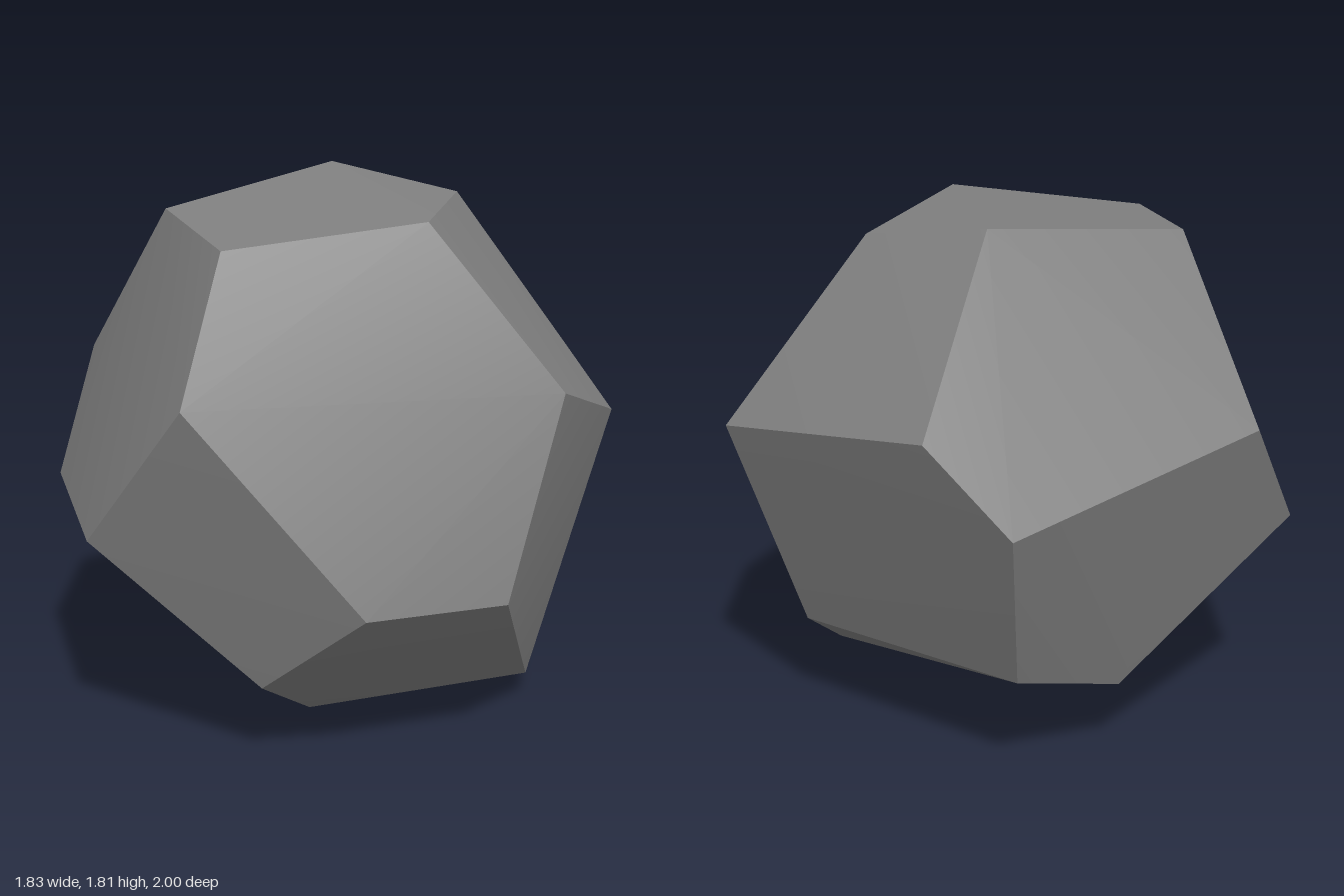
import * as THREE from 'three';
import { ConvexGeometry } from 'three/addons/geometries/ConvexGeometry.js';
import { toCreasedNormals } from 'three/addons/utils/BufferGeometryUtils.js';

// Corners of the faceted boulder, from the top down
const corners = [
  // top facet
  [-0.39, 1.81, -0.265], [0.5, 1.745, 0], [0.22, 1.675, 0.6], [-0.33, 1.72, 0.465], [0.01, 1.73, -0.515],
  // upper ring
  [-0.795, 1.165, 0.5], [0.4, 1.24, 0.87], [0.845, 1.215, -0.29], [0.58, 1.03, -0.75],
  [0.06, 1.13, -1], [-0.715, 1.26, -0.625], [-0.915, 0.985, -0.42],
  // lower ring
  [-0.625, 0.77, 0.745], [0.025, 0.75, 1], [0.79, 0.59, 0.455], [0.91, 0.58, -0.015],
  // base
  [-0.69, 0.39, -0.3], [-0.63, 0.275, 0.1], [0.425, 0.28, 0.6],
  [0.12, 0, 0.2], [0.48, 0.085, -0.48], [0.11, 0.365, -0.73],
];

export function createModel() {
  const stone = new THREE.MeshStandardMaterial({ color: 0x808080 });
  stone.name = 'stoneGrey';

  // Hull of the corners; slight bends inside a facet are smoothed, real edges stay sharp
  const hull = new ConvexGeometry(corners.map((c) => new THREE.Vector3(...c)));
  const boulder = new THREE.Mesh(toCreasedNormals(hull, 0.45), stone);
  boulder.name = 'boulder';

  const model = new THREE.Group();
  model.name = 'rock';
  model.add(boulder);
  return model;
}
